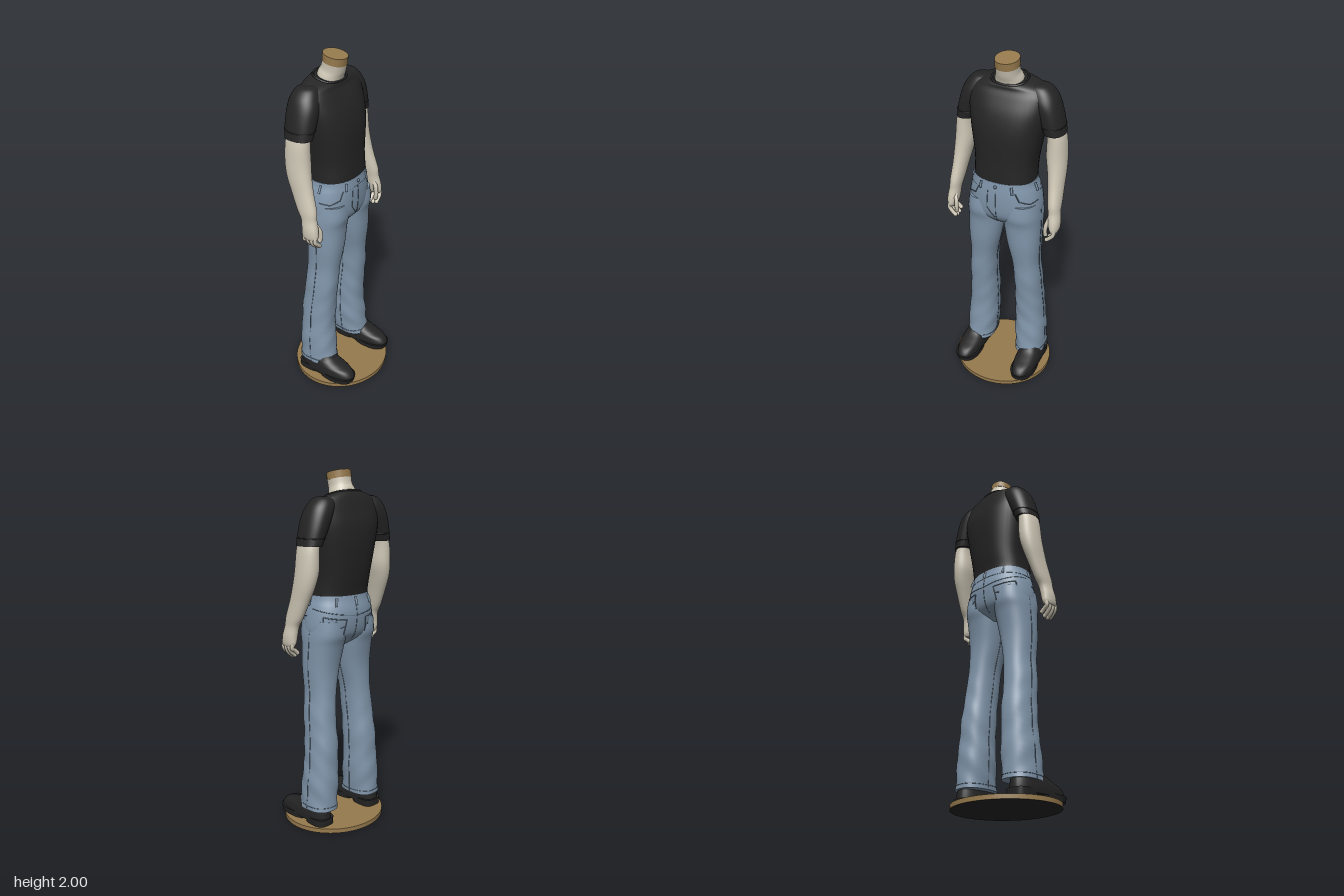
import * as THREE from 'three';

const mat = (name, color, extra) => {
  const m = new THREE.MeshStandardMaterial({ color });
  m.name = name;
  return Object.assign(m, extra);
};

// Smooth interpolation through section rows
function sample(rows, t) {
  const n = rows.length - 1;
  const f = Math.min(Math.max(t, 0), 1) * n;
  const i = Math.min(Math.floor(f), n - 1), u = f - i;
  const at = (k) => rows[Math.min(Math.max(k, 0), n)];
  const [a, b, c, d] = [at(i - 1), at(i), at(i + 1), at(i + 2)];
  return b.map((v, k) => v + 0.5 * u * (c[k] - a[k] +
    u * (2 * a[k] - 5 * v + 4 * c[k] - d[k] + u * (3 * (v - c[k]) + d[k] - a[k]))));
}

// Body form from sections [y, x0, x1, z0, z1, tilt], listed from top to bottom
function makeForm(sections, { side = 1, power = 2.3, ripple = () => 0 } = {}) {
  const rows = sections.map(([y, x0, x1, z0, z1, tilt = 0]) => [y, x0, x1, z0, z1, tilt]);
  const point = (t, a, grow = 0) => {
    const [y, x0, x1, z0, z1, tilt] = sample(rows, t);
    const bend = (v) => Math.sign(v) * Math.abs(v) ** (2 / power);
    const r = ripple(y, a) + grow;
    const dx = bend(Math.cos(a)) * ((x1 - x0) / 2 + r);
    const dz = bend(Math.sin(a)) * ((z1 - z0) / 2 + r);
    return new THREE.Vector3((x0 + x1) / 2 + dx, y - tilt * dx, side * (z0 + z1) / 2 + dz);
  };
  // Surface point at a given height
  const atHeight = (a, y, grow = 0) => {
    let lo = 0, hi = 1;
    for (let k = 0; k < 24; k++) {
      const mid = (lo + hi) / 2;
      if (sample(rows, mid)[0] > y) lo = mid; else hi = mid;
    }
    return point(lo, a, grow);
  };
  return { point, atHeight, count: rows.length };
}

function formGeometry(form, around = 40, perSection = 5) {
  const steps = (form.count - 1) * perSection;
  const pos = [], idx = [];
  const ring = (t) => {
    for (let j = 0; j < around; j++) pos.push(...form.point(t, j / around * Math.PI * 2).toArray());
  };
  for (let i = 0; i <= steps; i++) ring(i / steps);
  for (let i = 0; i < steps; i++) for (let j = 0; j < around; j++) {
    const k = (j + 1) % around, a = i * around, b = a + around;
    idx.push(a + j, a + k, b + j, a + k, b + k, b + j);
  }
  // End caps with their own vertices
  for (const t of [0, 1]) {
    const s = pos.length / 3;
    ring(t);
    const c = form.point(t, 0).add(form.point(t, Math.PI)).multiplyScalar(0.5);
    pos.push(...c.toArray());
    for (let j = 0; j < around; j++) {
      const k = (j + 1) % around;
      if (t === 0) idx.push(s + around, s + k, s + j);
      else idx.push(s + around, s + j, s + k);
    }
  }
  const g = new THREE.BufferGeometry();
  g.setAttribute('position', new THREE.Float32BufferAttribute(pos, 3));
  g.setIndex(idx);
  g.computeVertexNormals();
  return g;
}

export function createModel() {
  const root = new THREE.Group();
  root.name = 'headlessMannequin';
  const black = mat('black', 0x242424);
  const denim = mat('denim', 0x8095aa);
  const stitch = mat('darkDenim', 0x5a6b7c);
  const skin = mat('skin', 0xcdc6b5);
  const wood = mat('tan', 0x967a4d);

  const add = (name, geometry, material) => {
    const m = new THREE.Mesh(geometry, material);
    m.name = name;
    root.add(m);
    return m;
  };
  const body = (name, material, sections, opts) => {
    const form = makeForm(sections, opts);
    add(name, formGeometry(form), material);
    return form;
  };
  const tube = (name, pts, r, material, closed = false) =>
    add(name, new THREE.TubeGeometry(new THREE.CatmullRomCurve3(pts, closed, 'centripetal'),
      pts.length * 6, r, 6, closed), material);
  // Seam following a form through [angle, height] pairs
  const seam = (name, form, path, r = 0.002, material = stitch, grow = 0) => {
    const pts = [];
    for (let i = 0; i < path.length - 1; i++) for (let k = 0; k < 6; k++) {
      const u = k / 6, [p, q] = [path[i], path[i + 1]];
      pts.push(form.atHeight(p[0] + (q[0] - p[0]) * u, p[1] + (q[1] - p[1]) * u, grow));
    }
    pts.push(form.atHeight(...path[path.length - 1], grow));
    tube(name, pts, r, material);
  };

  // Oval stand with a dark underside
  const stand = add('stand', new THREE.CylinderGeometry(0.28, 0.28, 0.025, 72), [wood, wood, black]);
  stand.position.y = 0.0125;
  stand.scale.z = 1.07;

  // Neck and its cap
  body('neck', skin, [
    [1.95, -0.105, 0.022, -0.063, 0.063, 0.2], [1.91, -0.115, 0.012, -0.064, 0.064, 0.22],
    [1.88, -0.13, 0, -0.075, 0.075, 0.25], [1.82, -0.145, -0.015, -0.09, 0.09, 0.25]], { power: 2.1 });
  body('neckCap', wood, [
    [1.985, -0.103, 0.026, -0.064, 0.064, 0.2], [1.945, -0.107, 0.022, -0.065, 0.065, 0.2]], { power: 2.1 });

  // Shirt body
  const shirt = body('shirtBody', black, [
    [1.872, -0.145, -0.004, -0.092, 0.092, 0.25], [1.858, -0.158, 0.002, -0.15, 0.15, 0.2],
    [1.835, -0.17, 0.006, -0.2, 0.2, 0.12], [1.79, -0.186, 0.028, -0.222, 0.222],
    [1.71, -0.205, 0.066, -0.218, 0.218], [1.6, -0.205, 0.09, -0.2, 0.2],
    [1.45, -0.187, 0.095, -0.176, 0.176], [1.36, -0.17, 0.1, -0.174, 0.174],
    [1.322, -0.166, 0.102, -0.176, 0.176]], { power: 2.45 });
  const collar = [];
  for (let j = 0; j < 32; j++) collar.push(shirt.point(0.015, j / 32 * Math.PI * 2));
  tube('collar', collar, 0.006, black, true);

  // Jeans seat and waistband
  const hips = body('jeansSeat', denim, [
    [1.33, -0.165, 0.1, -0.175, 0.175], [1.24, -0.186, 0.109, -0.203, 0.203],
    [1.14, -0.175, 0.105, -0.213, 0.213], [1.09, -0.145, 0.085, -0.19, 0.19],
    [1.05, -0.09, 0.045, -0.1, 0.1]]);
  body('waistband', denim, [
    [1.335, -0.17, 0.104, -0.179, 0.179], [1.31, -0.174, 0.107, -0.184, 0.184],
    [1.285, -0.18, 0.11, -0.193, 0.193]]);
  [0.45, 1.45, 2.5, Math.PI, -0.45, -1.45, -2.5].forEach((a) =>
    seam('beltLoop', hips, [[a, 1.325], [a, 1.28]], 0.007, denim, 0.006));
  seam('flySeam', hips, [[0, 1.28], [0, 1.09]]);
  seam('flyStitch', hips, [[0.2, 1.28], [0.2, 1.17], [0.02, 1.11]]);
  seam('seatSeam', hips, [[Math.PI, 1.28], [Math.PI, 1.08]]);
  const button = add('waistButton', new THREE.SphereGeometry(0.009, 12, 8), stitch);
  button.position.copy(hips.atHeight(0, 1.31, 0.007));

  for (const s of [1, -1]) {
    const label = s > 0 ? 'left' : 'right';
    const opts = (power, ripple) => ({ side: s, power, ripple });

    // Pockets and yoke
    seam(label + 'FrontPocket', hips, [[s * 0.55, 1.285], [s * 0.65, 1.235], [s * 1.0, 1.215], [s * 1.4, 1.225]], 0.003);
    seam(label + 'Yoke', hips, [[s * 1.6, 1.265], [s * Math.PI, 1.225]]);
    seam(label + 'BackPocket', hips, [[s * 2.05, 1.225], [s * 2.85, 1.205], [s * 2.8, 1.11],
      [s * 2.45, 1.085], [s * 2.1, 1.12], [s * 2.05, 1.225]], 0.003);
    seam(label + 'PocketStitch', hips, [[s * 2.08, 1.18], [s * 2.45, 1.15], [s * 2.82, 1.17]]);

    // Flared trouser leg with soft folds
    const folds = (y, a) => {
      const low = Math.max(0, Math.min(1, (0.85 - y) * 2));
      return 0.004 * low * Math.sin(y * 38 + 2 * s * a) * Math.cos(a * 2 + s * y * 9);
    };
    const leg = body(label + 'TrouserLeg', denim, [
      [1.2, -0.165, 0.095, 0.02, 0.205], [1.12, -0.168, 0.102, 0.004, 0.215],
      [1.05, -0.148, 0.088, 0.004, 0.217], [0.92, -0.127, 0.081, 0.026, 0.217],
      [0.78, -0.127, 0.064, 0.056, 0.213], [0.65, -0.137, 0.058, 0.066, 0.226],
      [0.5, -0.156, 0.044, 0.068, 0.233], [0.34, -0.163, 0.043, 0.068, 0.248],
      [0.2, -0.167, 0.055, 0.073, 0.257], [0.112, -0.17, 0.07, 0.08, 0.262]], opts(2.3, folds));
    seam(label + 'OuterSeam', leg, [[s * 1.57, 1.15], [s * 1.57, 0.6], [s * 1.57, 0.115]]);
    seam(label + 'InnerSeam', leg, [[-s * 1.57, 1.0], [-s * 1.57, 0.5], [-s * 1.57, 0.115]]);
    const hem = [];
    for (let j = 0; j < 24; j++) hem.push(leg.atHeight(j / 24 * Math.PI * 2, 0.135));
    tube(label + 'HemStitch', hem, 0.0018, stitch, true);

    // Shoe: upper, front sole and heel
    body(label + 'ShoeUpper', black, [
      [0.19, -0.125, 0.03, 0.13, 0.24], [0.145, -0.14, 0.07, 0.128, 0.248],
      [0.12, -0.148, 0.13, 0.125, 0.254], [0.1, -0.152, 0.185, 0.122, 0.259],
      [0.07, -0.155, 0.213, 0.12, 0.262], [0.045, -0.155, 0.213, 0.122, 0.26]], opts(2.4));
    body(label + 'ShoeSole', black, [
      [0.06, -0.02, 0.218, 0.117, 0.265], [0.028, -0.02, 0.21, 0.12, 0.262]], opts(2.4));
    body(label + 'ShoeHeel', black, [
      [0.065, -0.16, -0.005, 0.127, 0.255], [0.024, -0.158, -0.01, 0.13, 0.252]], opts(3.2));

    // Sleeve with a cuff
    const sleeve = body(label + 'Sleeve', black, [
      [1.858, -0.125, -0.06, 0.13, 0.195], [1.845, -0.152, -0.036, 0.11, 0.222],
      [1.81, -0.17, -0.016, 0.11, 0.254], [1.76, -0.177, -0.002, 0.13, 0.277],
      [1.69, -0.175, -0.002, 0.165, 0.297], [1.61, -0.166, -0.008, 0.2, 0.313]], opts(2.2));
    const cuff = [];
    for (let j = 0; j < 24; j++) cuff.push(sleeve.atHeight(j / 24 * Math.PI * 2, 1.65));
    tube(label + 'CuffSeam', cuff, 0.003, black, true);

    // Arm down to the palm
    body(label + 'Arm', skin, [
      [1.65, -0.15, -0.02, 0.205, 0.3], [1.58, -0.157, -0.017, 0.216, 0.318],
      [1.48, -0.158, -0.011, 0.217, 0.327], [1.4, -0.143, 0, 0.232, 0.331],
      [1.32, -0.112, 0.018, 0.248, 0.332], [1.23, -0.073, 0.044, 0.263, 0.336],
      [1.18, -0.045, 0.048, 0.272, 0.337], [1.13, -0.037, 0.06, 0.277, 0.344],
      [1.09, -0.034, 0.064, 0.286, 0.343], [1.07, -0.025, 0.058, 0.295, 0.337]], opts(2.1));

    // Loosely curled fingers and thumb
    const digit = (name, pts, r) => {
      const v = pts.map(([x, y, z]) => new THREE.Vector3(x, y, s * z));
      tube(name, v, r, skin);
      const tip = add(name + 'Tip', new THREE.SphereGeometry(r, 10, 8), skin);
      tip.position.copy(v[v.length - 1]);
    };
    for (let i = 0; i < 4; i++) {
      const x = -0.019 + i * 0.023, drop = [0.02, 0.004, 0, 0.008][i];
      digit(label + 'Finger', [[x, 1.1, 0.318], [x + 0.002, 1.06, 0.322],
        [x + 0.003, 1.03 + drop, 0.306], [x + 0.002, 1.012 + drop, 0.286]], 0.0125);
    }
    digit(label + 'Thumb', [[0.03, 1.15, 0.29], [0.05, 1.11, 0.278], [0.054, 1.07, 0.275], [0.05, 1.05, 0.277]], 0.013);
  }
  return root;
}
